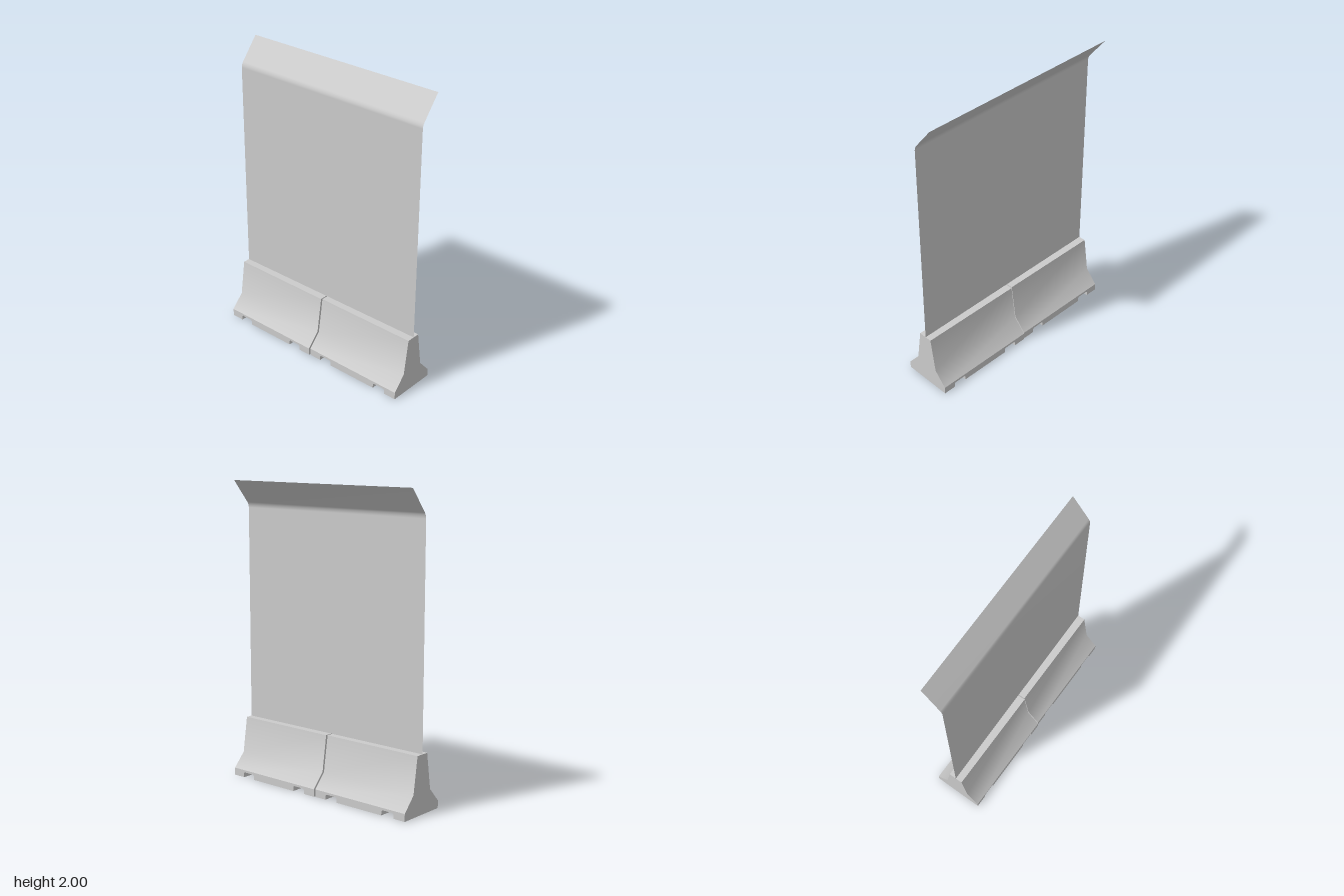
import * as THREE from 'three';
import { mergeGeometries, toCreasedNormals } from 'three/addons/utils/BufferGeometryUtils.js';

const LENGTH = 0.723, HALF = 0.17, PLINTH = 0.05;
const toShape = (pts) => new THREE.Shape(pts.map(([x, y]) => new THREE.Vector2(x, y)));
const extrude = (pts, depth) =>
  new THREE.ExtrudeGeometry(toShape(pts), { depth, bevelEnabled: false }).translate(0, 0, -depth / 2);

// Remove the hidden faces where the plinth meets the sloped body
function dropSeam(geometry) {
  const p = geometry.attributes.position, kept = [];
  for (let i = 0; i < p.count; i += 3) {
    const onSeam = [0, 1, 2].every((k) => Math.abs(p.getY(i + k) - PLINTH) < 1e-5);
    if (!onSeam) for (let k = 0; k < 3; k++) kept.push(p.getX(i + k), p.getY(i + k), p.getZ(i + k));
  }
  const result = new THREE.BufferGeometry();
  result.setAttribute('position', new THREE.Float32BufferAttribute(kept, 3));
  return result;
}

function barrierGeometry() {
  // Sloped body, swept along z
  const body = extrude([
    [-HALF, PLINTH], [HALF, PLINTH], [0.085, 0.145], [0.049, 0.385], [-0.049, 0.385], [-0.085, 0.145],
  ], LENGTH);

  // Plinth outline with two drainage notches, extruded across the width
  const outline = [[-LENGTH / 2, 0]];
  for (const c of [-0.228, 0.228]) {
    outline.push([c - 0.047, 0], [c - 0.047, 0.027], [c - 0.039, 0.035],
      [c + 0.039, 0.035], [c + 0.047, 0.027], [c + 0.047, 0]);
  }
  outline.push([LENGTH / 2, 0], [LENGTH / 2, PLINTH], [-LENGTH / 2, PLINTH]);
  const plinth = extrude(outline, HALF * 2).rotateY(Math.PI / 2);

  return toCreasedNormals(dropSeam(mergeGeometries([body, plinth])), 0.68);
}

// Thin sheet following a bent profile
function sheetGeometry() {
  const profile = [[0, 0.385], [0, 1.815], [0.002, 1.828], [0.006, 1.84], [0.013, 1.851], [0.133, 2]];
  const sheet = new THREE.PlaneGeometry(1.454, 1, 1, profile.length - 1);
  const p = sheet.attributes.position;
  for (let i = 0; i < p.count; i++) {
    const [x, y] = profile[profile.length - 1 - Math.floor(i / 2)];
    p.setXYZ(i, x - 0.002, y, -p.getX(i));
  }
  sheet.computeVertexNormals();
  return sheet;
}

export function createModel() {
  const group = new THREE.Group();
  group.name = 'barrierWithScreen';

  // Two concrete barriers end to end, each very slightly turned
  const concrete = new THREE.MeshStandardMaterial({ color: 0xcccccc });
  const geometry = barrierGeometry();
  for (const [name, side] of [['frontBarrier', 1], ['backBarrier', -1]]) {
    const barrier = new THREE.Mesh(geometry, concrete);
    barrier.name = name;
    barrier.position.set(-0.003, 0, side * 0.3655);
    barrier.rotation.y = -0.007;
    group.add(barrier);
  }

  // Tall screen with its top edge bent outwards
  const screen = new THREE.Mesh(sheetGeometry(),
    new THREE.MeshStandardMaterial({ color: 0xcccccc, side: THREE.DoubleSide }));
  screen.name = 'screen';
  group.add(screen);
  return group;
}
